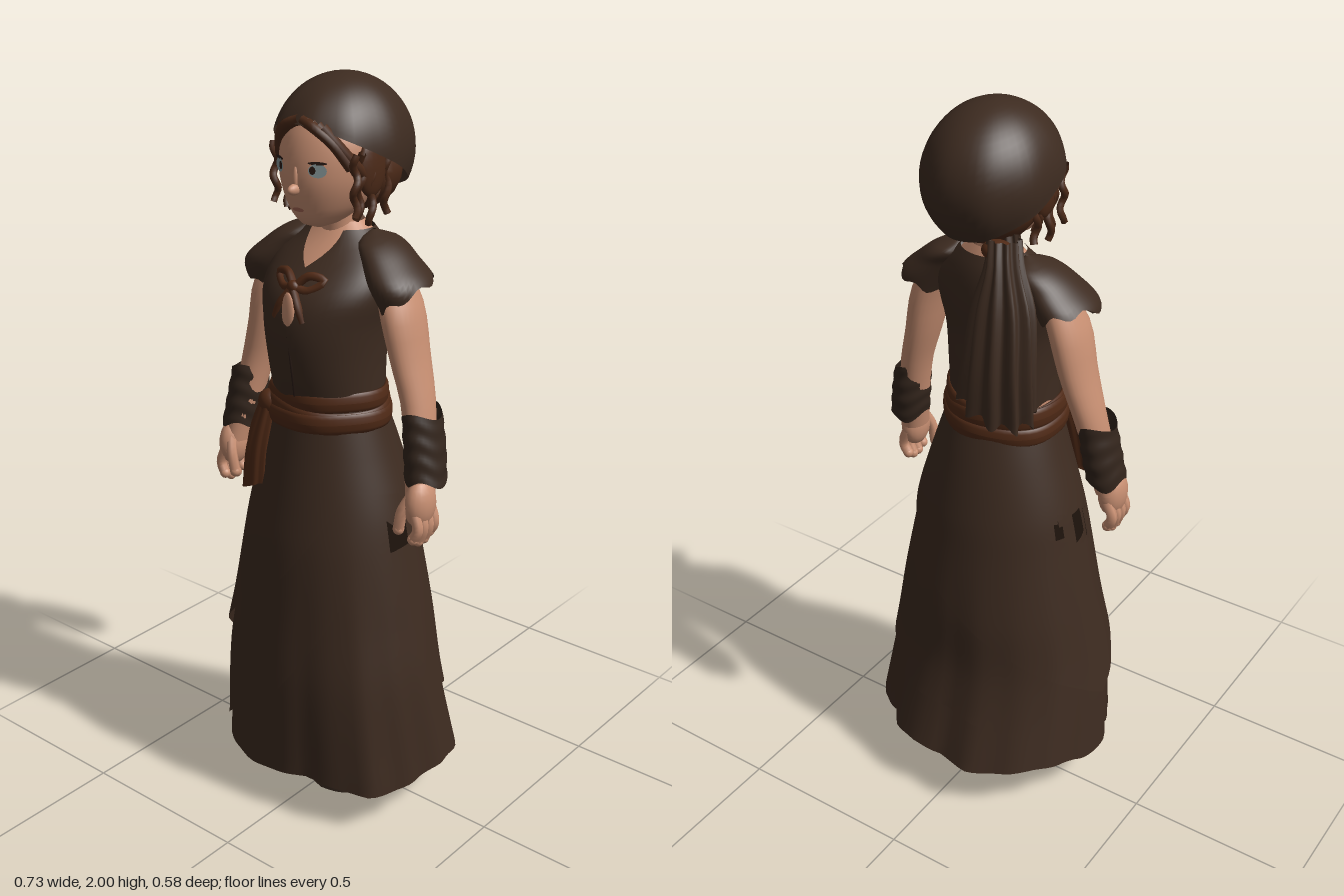
import * as THREE from 'three';

const mat = (name, color) => {
  const m = new THREE.MeshStandardMaterial({ color, side: THREE.DoubleSide });
  m.name = name;
  return m;
};

// Centre and radii [x, z, rx, rz] at height y, smoothly blended between rows [x, y, z, rx, rz]
function sectionAt(rows, y) {
  let i = 0;
  while (i < rows.length - 2 && y > rows[i + 1][1]) i++;
  const a = rows[i], b = rows[i + 1], p = rows[i - 1] || a, n = rows[i + 2] || b;
  const h = b[1] - a[1], t = THREE.MathUtils.clamp((y - a[1]) / h, 0, 1);
  return [0, 2, 3, 4].map(k => {
    const ma = (b[k] - p[k]) / (b[1] - p[1]) * h, mb = (n[k] - a[k]) / (n[1] - a[1]) * h;
    return (2 * t ** 3 - 3 * t * t + 1) * a[k] + (t ** 3 - 2 * t * t + t) * ma
      + (3 * t * t - 2 * t ** 3) * b[k] + (t ** 3 - t * t) * mb;
  });
}

// Closed-around grid; point(angle, v) has angle 0 at the front, v running upward.
// Cells whose corner satisfies hole(x, y, z) are left open.
function wrap(seg, steps, point, hole = () => false) {
  const pos = [], idx = [];
  for (let i = 0; i <= steps; i++)
    for (let j = 0; j < seg; j++) pos.push(...point(j / seg * Math.PI * 2, i / steps));
  for (let i = 0; i < steps; i++)
    for (let j = 0; j < seg; j++) {
      const a = i * seg + j, b = i * seg + (j + 1) % seg;
      if (!hole(...pos.slice(a * 3, a * 3 + 3))) idx.push(a, b, b + seg, a, b + seg, a + seg);
    }
  const g = new THREE.BufferGeometry();
  g.setAttribute('position', new THREE.Float32BufferAttribute(pos, 3));
  g.setIndex(idx);
  g.computeVertexNormals();
  return g;
}

// Shell over a row profile, with optional sloping hem (lo), rim (hi), folds and openings
function shell(rows, { seg = 28, steps = 14, lo, hi, grow = 0, fold, hole } = {}) {
  return wrap(seg, steps, (a, v) => {
    const y0 = lo ? lo(a) : rows[0][1], y1 = hi ? hi(a) : rows[rows.length - 1][1];
    const y = y0 + (y1 - y0) * v, [x, z, rx, rz] = sectionAt(rows, y);
    const f = fold ? fold(a, v, y) : 1;
    return [x + (rx + grow) * f * Math.sin(a), y, z + (rz + grow) * f * Math.cos(a)];
  }, hole);
}

// Values listed at equal steps from the front towards +x, blended around
const around = list => a => {
  const n = list.length, k = a / (Math.PI * 2) * n, i = Math.floor(k);
  return THREE.MathUtils.lerp(list[i % n], list[(i + 1) % n], k - i);
};

const tube = (pts, r, n = 16, sides = 7) => new THREE.TubeGeometry(
  new THREE.CatmullRomCurve3(pts.map(p => new THREE.Vector3(...p))), n, r, sides);

export function createModel() {
  const model = new THREE.Group();
  const cloth = mat('dark brown cloth', 0x3d2b20), leather = mat('dark leather', 0x33251c);
  const sashMat = mat('russet sash', 0x502a16), hairMat = mat('brown hair', 0x4c2a18);
  const skin = mat('skin', 0xc99073), grey = mat('grey foot', 0x8b9090);
  const eyeMat = mat('blue grey eye', 0x8a9b9c), dark = mat('dark line', 0x2a1b15);
  const lip = mat('lip', 0x9c604f), studMat = mat('stud brown', 0x7a4630);
  const add = (name, geo, m, parent = model) => {
    const mesh = new THREE.Mesh(geo, m);
    mesh.name = name;
    parent.add(mesh);
    return mesh;
  };
  const ball = (name, m, p, s, parent) => {
    const b = add(name, new THREE.SphereGeometry(1, 18, 12), m, parent);
    b.position.set(...p);
    b.scale.set(...s);
    return b;
  };
  const fromFront = a => Math.min(a, Math.PI * 2 - a);

  // Skirt: full base and two wrapped layers with slanting hems and side openings by each hand
  const skirtRows = [[0, .1, 0, .352, .294], [0, .4, .04, .315, .247], [0, .6, .04, .278, .228],
    [0, .8, .045, .238, .203], [0, .9, .045, .216, .186], [0, 1.05, .05, .17, .153], [0, 1.18, .06, .13, .118]];
  const billow = around([1.01, .98, 1.04, 1.1, 1.03, .99, 1, 1, .99, .91, 1.01, 1.04,
    .97, 1.03, 1.01, 1.02, 1, .97, 1.01, 1.01, 1, 1.02, 1.05, 1.03]);
  const pleat = (a, v, y) => 1 + THREE.MathUtils.clamp((.95 - y) / .8, 0, 1) ** 1.6 *
    (billow(a) - 1 + .008 * Math.sin(17 * a));
  const pocket = (x, y, z) => Math.abs(x) > .17 &&
    ((z > .03 && z < .1 && y > .775 && y < .875) || (z > -.045 && z < -.005 && y > .82 && y < .89));
  add('skirt', shell(skirtRows, { seg: 96, steps: 30, lo: a => .135 - .012 * Math.cos(a) + .01 * Math.sin(5 * a),
    fold: pleat, hole: pocket }), cloth);
  add('lowerWrap', shell(skirtRows, { seg: 96, steps: 30, grow: .008, hole: pocket,
    lo: around([.38, .72, .4, .32, .3, .25, .2, .17]), fold: pleat }), cloth);
  add('upperWrap', shell(skirtRows, { seg: 96, steps: 30, grow: .016, hole: pocket,
    lo: around([.71, .98, .95, .8, .62, .46, .33, .52]),
    fold: (a, v, y) => pleat(a, v, y) + .035 * Math.max(0, -Math.sin(a)) ** 2 * (1 - v) ** 5 }), cloth);
  add('underskirt', shell([[0, .09, .085, .25, .185], [0, .3, .05, .27, .21]], { seg: 64, steps: 4,
    lo: a => .09 + .035 * Math.max(0, 1 - (fromFront(a) / .5) ** 4), fold: a => 1 + .03 * Math.sin(10 * a) }), leather);
  const lining = add('underskirtLining', new THREE.RingGeometry(.2, 1, 40), leather);
  lining.rotation.x = Math.PI / 2;
  lining.scale.set(.25, .19, 1);
  lining.position.set(0, .135, .08);

  // Single faceted foot with a ring of small studs
  const footGeo = new THREE.LatheGeometry([[0, 0], [.075, 0], [.094, .025], [.094, .085], [.082, .135], [0, .16]]
    .map(p => new THREE.Vector2(...p)), 10).toNonIndexed();
  footGeo.computeVertexNormals();
  add('foot', footGeo, grey).position.set(.005, 0, .015);
  for (let i = 0; i < 10; i++) {
    const a = (i + .5) / 10 * Math.PI * 2;
    const stud = add('footStud', new THREE.OctahedronGeometry(1), studMat);
    stud.scale.set(.023, .011, .01);
    stud.position.set(.005 + .09 * Math.sin(a), .078, .015 + .09 * Math.cos(a));
    stud.rotation.y = a;
  }

  // Bodice over the chest, with a small V neckline
  const torsoRows = [[0, 1.17, .06, .15, .135], [0, 1.3, .07, .153, .155], [0, 1.4, .074, .163, .157],
    [0, 1.48, .06, .18, .148], [0, 1.55, .03, .168, .115], [0, 1.6, .01, .115, .085], [0, 1.64, .005, .07, .062]];
  add('chest', shell(torsoRows, { grow: -.012 }), skin);
  add('bodice', shell(torsoRows, { seg: 64, steps: 20, lo: a => 1.205 + .012 * Math.cos(7 * a),
    hi: a => 1.625 - .085 * Math.max(0, 1 - fromFront(a) / .6) }), cloth);
  add('neck', shell([[0, 1.56, .01, .07, .06], [0, 1.62, .02, .05, .05], [0, 1.72, .03, .052, .055]]), skin);
  ball('keyhole', skin, [.003, 1.435, .223], [.02, .058, .008]);
  add('bodiceSlit', tube([[.005, 1.38, .228], [.012, 1.3, .223], [.003, 1.2, .2]], .004), dark);

  // Neck bow
  const bow = new THREE.Group();
  bow.name = 'bow';
  model.add(bow);
  for (const s of [-1, 1]) {
    add('bowLoop', tube([[0, 1.5, .196], [s * .035, 1.53, .178], [s * .072, 1.52, .165], [s * .04, 1.495, .188],
      [0, 1.5, .2]], .011), sashMat, bow);
    add('bowTail', tube([[0, 1.5, .2], [s * .028, 1.46, .215], [s * .045, 1.42, .215]], .011), sashMat, bow);
  }
  ball('bowKnot', sashMat, [0, 1.5, .2], [.018, .018, .014], bow);

  // Waist sash: crossing wraps, a knot and two hanging ends
  for (const [y, tilt, r, out] of [[1.142, .01, .026, .013], [1.166, -.016, .03, .008], [1.195, .01, .026, .003]])
    add('sashWrap', wrap(48, 10, (a, v) => {
      const b = v * Math.PI * 2, o = out + .008 * Math.cos(b) + .003 * Math.sin(5 * a);
      return [(.152 + o) * Math.sin(a), y + tilt * Math.sin(a + .6) - r * Math.sin(b), .06 + (.137 + o) * Math.cos(a)];
    }), sashMat);
  ball('sashKnot', sashMat, [-.115, 1.16, .165], [.035, .035, .03]);
  const ribs = (amp, n) => a => 1 + amp * Math.sin(n * a);
  add('sashEnd', shell([[-.14, .92, .212, .036, .014], [-.135, 1.04, .198, .033, .016], [-.112, 1.17, .172, .022, .016]],
    { fold: ribs(.14, 6), lo: a => .93 + .015 * Math.sin(a) }), sashMat);
  add('sashEnd', shell([[-.17, .95, .185, .024, .014], [-.15, 1.08, .175, .024, .016], [-.12, 1.17, .168, .02, .015]],
    { fold: ribs(.14, 5) }), sashMat);

  // Arms, built on the left and mirrored
  for (const s of [1, -1]) {
    const arm = new THREE.Group();
    arm.name = s > 0 ? 'leftArm' : 'rightArm';
    model.add(arm);
    const mir = rows => rows.map(r => [s * r[0], ...r.slice(1)]);
    add('armSkin', shell(mir([[.315, .98, .08, .034, .045], [.275, 1.2, .04, .038, .053], [.238, 1.33, .032, .042, .066],
      [.208, 1.45, .03, .046, .072], [.17, 1.54, .02, .04, .05]])), skin, arm);
    add('sleeveCap', shell(mir([[.22, 1.45, .02, .052, .088], [.205, 1.51, .025, .073, .1], [.165, 1.56, .02, .062, .085],
      [.12, 1.605, .008, .045, .06], [.1, 1.625, .005, .004, .005]]), { seg: 40,
      lo: a => 1.482 + .03 * Math.sin(a) * s - .022 * Math.cos(a) + .008 * Math.sin(6 * a) }), cloth, arm);
    add('wristWrap', shell(mir([[.318, 1.02, .062, .05, .06], [.305, 1.1, .052, .048, .064], [.288, 1.205, .045, .043, .062]]),
      { seg: 32, steps: 24, lo: a => 1.025 + .012 * Math.sin(3 * a), hi: a => 1.195 + .012 * Math.sin(2 * a + 1),
        fold: (a, v) => 1 + .025 * Math.sin(v * 22 + 2 * Math.sin(a)) }), leather, arm);
    ball('palm', skin, [s * .322, .968, .09], [.036, .066, .05], arm);
    for (let i = 0; i < 4; i++) {
      const z = .052 + i * .023, low = .855 + .012 * Math.abs(i - 1.5);
      add('finger', tube(mir([[.325, .96, z], [.342, .91, z + .003], [.328, low + .008, z + .005]]), .0145, 8), skin, arm);
      ball('fingertip', skin, [s * .328, low + .008, z + .005], [.0145, .015, .0145], arm);
    }
    add('thumb', tube(mir([[.315, 1, .11], [.295, .95, .13], [.285, .9, .13]]), .015, 8), skin, arm);
    ball('thumbTip', skin, [s * .285, .9, .13], [.015, .016, .015], arm);
  }

  // Head and face
  const headRows = [[0, 1.635, .1, .012, .012], [0, 1.648, .09, .045, .058], [0, 1.69, .065, .09, .108],
    [0, 1.77, .05, .122, .138], [0, 1.86, .04, .122, .13], [0, 1.94, .02, .08, .1]];
  add('head', shell(headRows, { seg: 40, steps: 26 }), skin);
  const onFace = (name, m, x, y, w, h, lift) => {
    const [cx, cz, rx, rz] = sectionAt(headRows, y), a = Math.asin((x - cx) / rx);
    const p = add(name, new THREE.CircleGeometry(1, 18), m);
    p.scale.set(w, h, 1);
    p.position.set(x, y, cz + rz * Math.cos(a) + lift);
    p.rotation.y = a;
  };
  for (const s of [-1, 1]) {
    onFace('eye', eyeMat, s * .06, 1.792, .023, .017, .005);
    onFace('pupil', dark, s * .05, 1.793, .008, .01, .007);
    onFace('lash', dark, s * .06, 1.81, .024, .004, .007);
    ball('ear', skin, [s * .124, 1.775, .03], [.014, .03, .022]);
  }
  onFace('mouth', lip, 0, 1.69, .018, .005, .004);
  ball('nose', skin, [0, 1.742, .189], [.012, .014, .024]);
  ball('noseBridge', skin, [0, 1.765, .183], [.009, .034, .01]);

  // Hair below the scarf: back mass, fringe falling to the temples, and close side curls
  ball('hairBack', hairMat, [0, 1.765, -.025], [.135, .11, .125]);
  for (const s of [-1, 1]) {
    for (let i = 0; i < 5; i++)
      add('fringe', tube([[s * (.005 + .014 * i), 1.905 - .003 * i, .163 - .002 * i], [s * (.045 + .012 * i), 1.89 - .01 * i, .166 - .008 * i],
        [s * (.083 + .009 * i), 1.855 - .014 * i, .146 - .012 * i], [s * (.113 + .003 * i), 1.795 - .012 * i, .113 - .016 * i]], .0135), hairMat);
    ball('sideHair', hairMat, [s * .122, 1.79, .045], [.02, .075, .05]);
    for (let i = 0; i < 5; i++) {
      const pts = [];
      for (let k = 0; k <= 12; k++)
        pts.push([s * (.128 - .0015 * k * (i % 2) + .005 * Math.cos(k * 1.1 + i)), 1.83 - k * (.0125 + .0012 * (i % 3)),
          .115 - i * .03 + .007 * Math.sin(k * 1.1 + i)]);
      add('sideCurl', tube(pts, .0095, 36, 6), hairMat);
    }
  }

  // Head scarf: dome tilted down at the back, with a gathered tail
  add('headScarf', wrap(48, 18, (a, v) => {
    const rim = 1.795 + .1 * Math.cos(a), p0 = Math.asin((rim - 1.815) / .185);
    const p = p0 + (Math.PI / 2 - p0) * v, f = Math.cos(p) * (1 + .012 * (1 - v) * Math.sin(9 * a));
    return [-.004 + .168 * f * Math.sin(a), 1.815 + .185 * Math.sin(p), .195 * f * Math.cos(a)];
  }), cloth);
  ball('scarfKnot', sashMat, [-.085, 1.675, -.105], [.042, .025, .035]);
  add('scarfTail', shell([[-.13, 1.27, -.182, .105, .048], [-.13, 1.4, -.168, .092, .052], [-.125, 1.55, -.14, .075, .052],
    [-.115, 1.65, -.12, .045, .04], [-.1, 1.71, -.1, .04, .035]], { seg: 90, steps: 16,
    lo: a => 1.3 - .03 * Math.cos(a + 2.6) + .012 * Math.sin(9 * a),
    fold: (a, v) => 1 + .13 * Math.sin(10 * a + v) }), cloth);
  return model;
}
